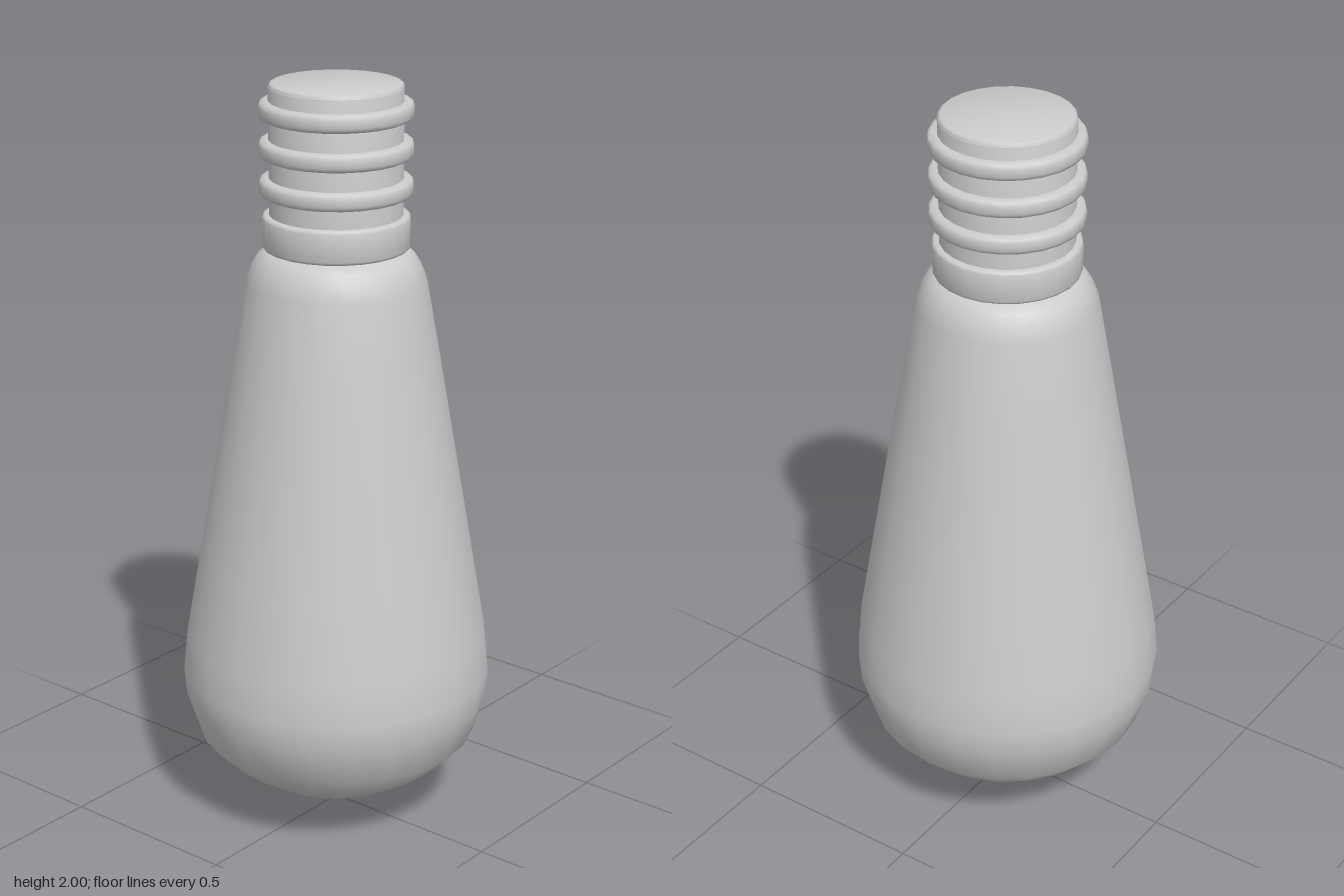
import * as THREE from 'three';
import { toCreasedNormals } from 'three/addons/utils/BufferGeometryUtils.js';

const SIDES = 24;
const material = new THREE.MeshStandardMaterial({ color: 0xcccccc });

// Revolve a profile of [radius, height] pairs, listed from bottom to top
function turned(name, profile, crease) {
  let geometry = new THREE.LatheGeometry(profile.map(([r, y]) => new THREE.Vector2(r, y)), SIDES);
  if (crease) geometry = toCreasedNormals(geometry, crease);
  const mesh = new THREE.Mesh(geometry, material);
  mesh.name = name;
  return mesh;
}

// Closed band with small bevelled edges
function band(name, inner, outer, y0, y1, bevel) {
  return turned(name, [
    [inner, y0], [outer - bevel, y0], [outer - bevel * 0.3, y0 + bevel * 0.3], [outer, y0 + bevel],
    [outer, y1 - bevel], [outer - bevel * 0.3, y1 - bevel * 0.3], [outer - bevel, y1], [inner, y1],
  ], 0.85);
}

export function createModel() {
  const bulb = new THREE.Group();
  bulb.name = 'lightBulb';

  // Pear-shaped glass with a drawn-out tip at the bottom
  bulb.add(turned('glass', [
    [0, 0], [0.014, 0.003], [0.03, 0.015], [0.048, 0.036], [0.068, 0.052], [0.115, 0.07],
    [0.22, 0.106], [0.305, 0.162], [0.373, 0.23], [0.408, 0.335], [0.414, 0.41],
    [0.403, 0.52], [0.367, 0.73], [0.317, 1.02], [0.267, 1.31], [0.235, 1.49],
    [0.219, 1.53], [0.203, 1.556], [0.186, 1.568], [0.165, 1.578],
  ]));

  // Screw cap: collar, core and thread rings
  const cap = new THREE.Group();
  cap.name = 'screwCap';
  cap.add(band('collar', 0.14, 0.19, 1.576, 1.665, 0.009));
  cap.add(turned('core', [
    [0, 1.6], [0.172, 1.6], [0.172, 1.99], [0.17, 1.997], [0.164, 2], [0, 2],
  ], 0.85));
  for (let i = 0; i < 3; i++) {
    const y = 1.737 + i * 0.098;
    cap.add(band('threadRing' + (i + 1), 0.165, 0.197, y - 0.023, y + 0.023, 0.013));
  }
  bulb.add(cap);
  return bulb;
}
